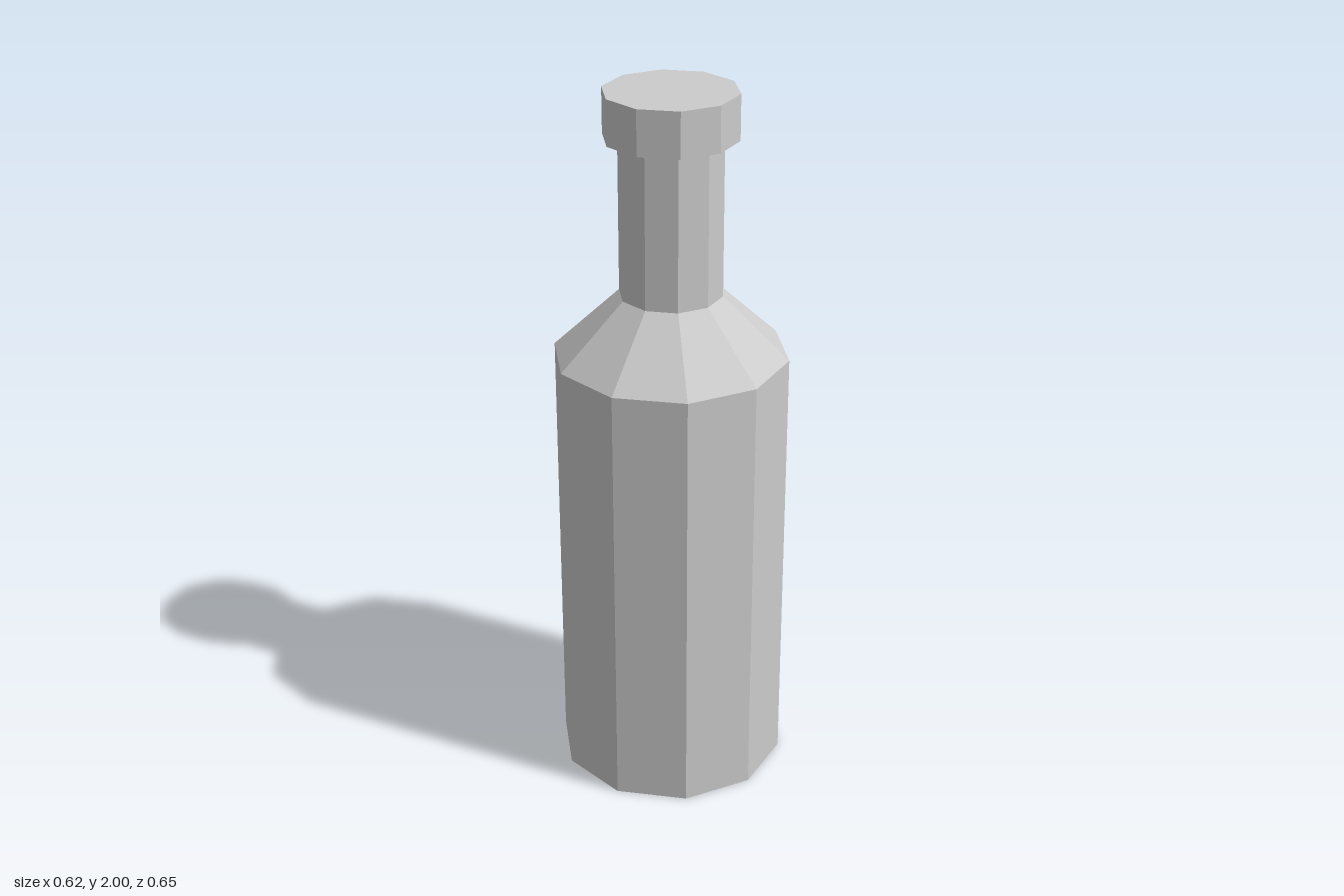
import * as THREE from 'three';

const SIDES = 10;
const material = new THREE.MeshStandardMaterial({ color: 0xcccccc, flatShading: true });

// Faceted solid of revolution from [radius, height] pairs, bottom to top
function turned(name, profile) {
  const points = profile.map(([r, y]) => new THREE.Vector2(r, y));
  const mesh = new THREE.Mesh(new THREE.LatheGeometry(points, SIDES), material);
  mesh.name = name;
  return mesh;
}

export function createModel() {
  const BODY = 0.325, NECK = 0.142, LIP = 0.182;
  const SHOULDER_Y = 1.265, NECK_Y = 1.44, LIP_Y = 1.875, TOP_Y = 2;

  const bottle = new THREE.Group();
  bottle.name = 'bottle';
  bottle.add(
    // closed base and straight wall
    turned('body', [[0, 0], [BODY, 0], [BODY, SHOULDER_Y]]),
    // sloping shoulder
    turned('shoulder', [[BODY, SHOULDER_Y], [NECK, NECK_Y]]),
    turned('neck', [[NECK, NECK_Y], [NECK, LIP_Y]]),
    // overhanging cap with closed top
    turned('cap', [[NECK, LIP_Y], [LIP, LIP_Y], [LIP, TOP_Y], [0, TOP_Y]])
  );
  return bottle;
}
